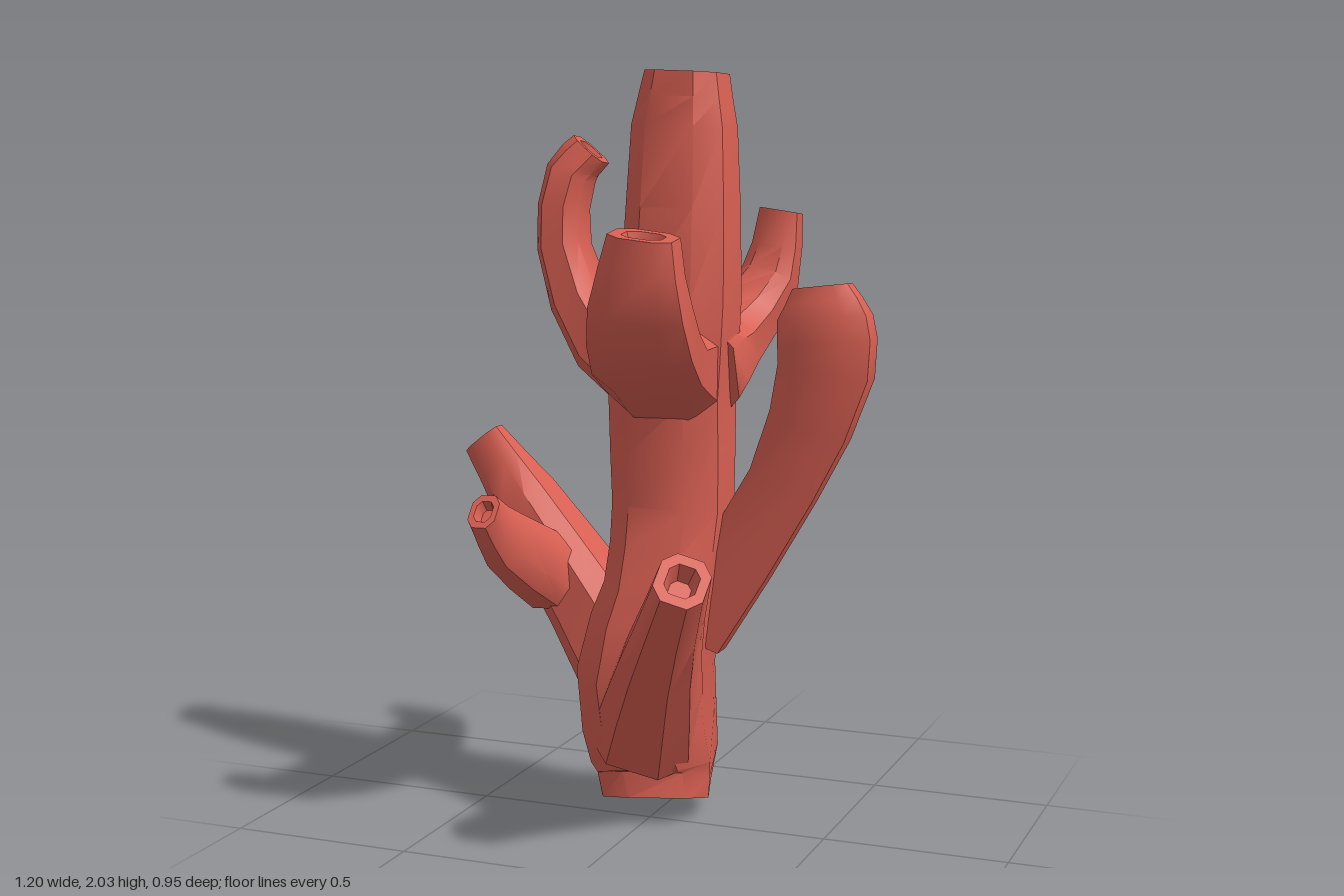
import * as THREE from 'three';
import { toCreasedNormals } from 'three/addons/utils/BufferGeometryUtils.js';

const SIDES = 8;
const CORNER = 0.3; // half angle of each chamfered corner
const material = new THREE.MeshStandardMaterial({ color: 0xd85f52 });
const X = new THREE.Vector3(1, 0, 0), Z = new THREE.Vector3(0, 0, 1);

// Chamfered square cross-section in the plane across the tangent
function makeRing(center, tangent, side, a, b, twist) {
  const u = side.clone().addScaledVector(tangent, -side.dot(tangent)).normalize();
  const v = tangent.clone().cross(u);
  const k = 1 / Math.cos(Math.PI / 4 - CORNER);
  return Array.from({ length: SIDES }, (_, j) => {
    const angle = Math.PI / 4 + Math.floor(j / 2) * Math.PI / 2 + (j % 2 ? CORNER : -CORNER);
    const p = new THREE.Vector2(a * k * Math.cos(angle), b * k * Math.sin(angle));
    p.rotateAround(new THREE.Vector2(), twist);
    return center.clone().addScaledVector(u, p.x).addScaledVector(v, p.y);
  });
}

// Limb swept along a spline. Each row: x, y, z, radius along side, radius across.
// The near end is closed flat; the far end has a rim and a sunken cup.
function limb(name, side, cup, rows, twist = 0) {
  const path = new THREE.CatmullRomCurve3(rows.map(r => new THREE.Vector3(r[0], r[1], r[2])));
  const radii = new THREE.SplineCurve(rows.map(r => new THREE.Vector2(r[3], r[4])));
  const steps = (rows.length - 1) * 2;
  const rings = [];
  const addRing = (t, scale, depth) => {
    const tangent = path.getTangent(t), r = radii.getPoint(t);
    const center = path.getPoint(t).addScaledVector(tangent, -depth);
    rings.push(makeRing(center, tangent, side, r.x * scale, r.y * scale, twist * (1 - t) ** 4));
  };
  addRing(0, 0, 0);
  for (let i = 0; i <= steps; i++) addRing(i / steps, 1, 0);
  addRing(1, 0.62, 0);
  addRing(1, 0.42, cup);
  addRing(1, 0, cup);

  const index = [];
  for (let i = 0; i < rings.length - 1; i++) {
    for (let j = 0; j < SIDES; j++) {
      const a = i * SIDES + j, b = i * SIDES + (j + 1) % SIDES;
      if (i > 0) index.push(a, b, b + SIDES);
      if (i < rings.length - 2) index.push(a, b + SIDES, a + SIDES);
    }
  }
  const geometry = new THREE.BufferGeometry().setFromPoints(rings.flat());
  geometry.setIndex(index);
  const mesh = new THREE.Mesh(toCreasedNormals(geometry, 0.75), material);
  mesh.name = name;
  return mesh;
}

export function createModel() {
  const group = new THREE.Group();
  group.name = 'coral';

  // Main stem, with a skewed foot
  group.add(limb('trunk', X, 0.06, [
    [-0.01, 0.015, -0.06, 0.145, 0.15],
    [-0.02, 0.13, -0.09, 0.165, 0.185],
    [-0.02, 0.4, -0.025, 0.17, 0.195],
    [0.03, 0.62, -0.03, 0.145, 0.165],
    [0.05, 0.85, -0.045, 0.15, 0.135],
    [0.045, 1.15, -0.05, 0.155, 0.145],
    [0.075, 1.42, -0.035, 0.145, 0.14],
    [0.08, 1.86, -0.045, 0.127, 0.115],
    [0.085, 2, -0.05, 0.1, 0.1],
  ], 0.4));

  // Crown of three upturned branches
  group.add(limb('upperFrontBranch', X, 0.04, [
    [0.06, 1.22, 0.02, 0.14, 0.14],
    [0.085, 1.265, 0.22, 0.145, 0.09],
    [0.125, 1.42, 0.385, 0.125, 0.075],
    [0.145, 1.6, 0.41, 0.085, 0.06],
  ]));
  group.add(limb('upperBackBranch', X, 0.04, [
    [0.1, 1.22, -0.07, 0.13, 0.14],
    [0.135, 1.28, -0.24, 0.095, 0.09],
    [0.205, 1.44, -0.39, 0.075, 0.07],
    [0.23, 1.625, -0.41, 0.055, 0.05],
  ]));
  group.add(limb('upperRightBranch', Z, 0.03, [
    [0.04, 1.18, -0.05, 0.12, 0.11],
    [-0.16, 1.27, -0.085, 0.1, 0.085],
    [-0.295, 1.53, -0.11, 0.085, 0.062],
    [-0.28, 1.73, -0.125, 0.075, 0.06],
    [-0.225, 1.795, -0.135, 0.055, 0.055],
  ]));

  // Tall paddle on the left
  group.add(limb('leftBranch', Z, 0.04, [
    [0.1, 0.5, -0.06, 0.06, 0.1],
    [0.36, 0.92, -0.055, 0.055, 0.095],
    [0.475, 1.23, -0.05, 0.068, 0.123],
    [0.47, 1.37, -0.05, 0.064, 0.12],
    [0.46, 1.45, -0.055, 0.045, 0.075],
  ]));

  // Lower branches and the twig on the right one
  group.add(limb('lowerFrontBranch', X, 0.05, [
    [-0.01, 0.22, 0, 0.14, 0.14],
    [0.11, 0.48, 0.21, 0.1, 0.105],
    [0.25, 0.745, 0.415, 0.066, 0.078],
  ]));
  group.add(limb('lowerRightBranch', Z, 0.03, [
    [-0.02, 0.3, -0.06, 0.15, 0.14],
    [-0.21, 0.54, -0.1, 0.12, 0.115],
    [-0.42, 0.82, -0.11, 0.085, 0.085],
    [-0.55, 0.985, -0.115, 0.035, 0.06],
  ]));
  group.add(limb('sideTwig', X, 0.03, [
    [-0.31, 0.62, -0.06, 0.09, 0.1],
    [-0.355, 0.76, 0.17, 0.055, 0.08],
    [-0.362, 0.855, 0.28, 0.04, 0.05],
  ]));
  return group;
}
